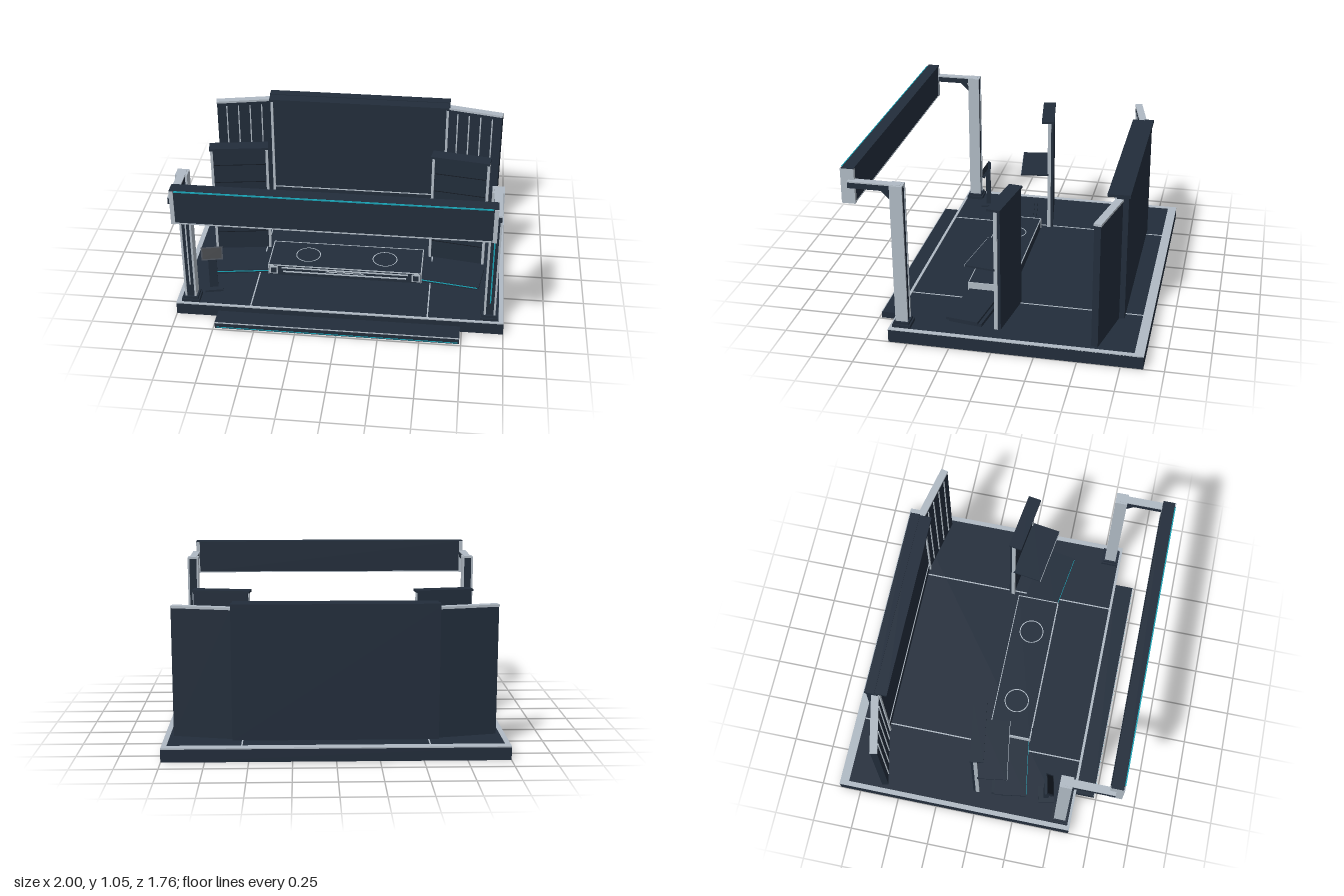
import * as THREE from 'three';

const mat = (name, color) => {
  const m = new THREE.MeshStandardMaterial({ color });
  m.name = name;
  return m;
};

export function createModel() {
  const navy = mat('navy', 0x222d3b);
  const black = mat('nearBlack', 0x121820);
  const silver = mat('silver', 0xb0bac4);
  const cyan = mat('cyanLight', 0x18a3b5);

  const model = new THREE.Group();
  model.name = 'exhibitionStand';

  const group = (name, parent = model) => {
    const g = new THREE.Group();
    g.name = name;
    parent.add(g);
    return g;
  };
  // Box given by its limits on each axis
  const box = (parent, name, material, x0, x1, y0, y1, z0, z1) => {
    const m = new THREE.Mesh(new THREE.BoxGeometry(x1 - x0, y1 - y0, z1 - z0), material);
    m.position.set((x0 + x1) / 2, (y0 + y1) / 2, (z0 + z1) / 2);
    m.name = name;
    parent.add(m);
    return m;
  };

  // Stage floor: thin deck on a skirt that is open underneath
  const stage = group('stage');
  box(stage, 'deck', navy, -0.97, 0.97, 0.06, 0.08, -0.85, 0.595);
  box(stage, 'frontSkirt', navy, -1, 1, 0, 0.079, 0.59, 0.615);
  box(stage, 'backSkirt', navy, -1, 1, 0, 0.079, -0.88, -0.855);
  box(stage, 'frontTrim', silver, -1, 1, 0.076, 0.083, 0.6, 0.616);
  box(stage, 'backTrim', silver, -1, 1, 0.076, 0.083, -0.881, -0.825);
  box(stage, 'frontUnderglow', cyan, -0.96, 0.96, 0.012, 0.018, 0.586, 0.59);
  box(stage, 'backUnderglow', cyan, -0.96, 0.96, 0.012, 0.018, -0.855, -0.851);
  for (const s of [-1, 1]) {
    box(stage, 'sideSkirt', navy, s * 0.985 - 0.015, s * 0.985 + 0.015, 0, 0.079, -0.855, 0.59);
    box(stage, 'sideTrim', silver, s * 0.985 - 0.015, s * 0.985 + 0.015, 0.076, 0.083, -0.825, 0.6);
    box(stage, 'sideUnderglow', cyan, s * 0.968 - 0.002, s * 0.968 + 0.002, 0.012, 0.018, -0.85, 0.586);
    box(stage, 'floorSeam', silver, s * 0.54 - 0.004, s * 0.54 + 0.004, 0.079, 0.082, -0.825, 0.6);
  }

  // Front step
  const step = group('frontStep');
  box(step, 'tread', navy, -0.74, 0.74, 0, 0.04, 0.615, 0.735);
  box(step, 'stepLight', cyan, -0.73, 0.73, 0.005, 0.01, 0.733, 0.737);
  box(step, 'nosing', silver, -0.74, 0.74, 0.036, 0.041, 0.731, 0.736);

  // Low central display platform
  const platform = group('displayPlatform');
  box(platform, 'body', navy, -0.48, 0.48, 0.08, 0.155, -0.005, 0.255);
  for (const [z0, z1] of [[-0.01, -0.005], [0.255, 0.26]])
    box(platform, 'topEdge', silver, -0.485, 0.485, 0.151, 0.157, z0, z1);
  for (const s of [-1, 1]) {
    box(platform, 'endPlate', silver, s * 0.482 - 0.003, s * 0.482 + 0.003, 0.085, 0.157, -0.01, 0.26);
    box(platform, 'cornerBlock', silver, s * 0.45 - 0.026, s * 0.45 + 0.026, 0.093, 0.146, 0.25, 0.263);
    box(platform, 'cornerInset', navy, s * 0.45 - 0.018, s * 0.45 + 0.018, 0.1, 0.138, 0.26, 0.264);
    const ring = new THREE.Mesh(new THREE.RingGeometry(0.073, 0.079, 40), silver);
    ring.rotation.x = -Math.PI / 2;
    ring.position.set(s * 0.245, 0.157, 0.125);
    ring.name = 'spotRing';
    platform.add(ring);
  }
  box(platform, 'frontRail', silver, -0.4, 0.4, 0.134, 0.141, 0.25, 0.262);
  box(platform, 'frontRail', silver, -0.39, 0.39, 0.106, 0.113, 0.25, 0.262);
  box(platform, 'frontLine', silver, -0.12, 0.12, 0.121, 0.126, 0.25, 0.259);

  // Back wall
  const wall = group('backWall');
  box(wall, 'panel', navy, -0.6, 0.6, 0.08, 0.868, -0.72, -0.65);
  box(wall, 'canopy', navy, -0.595, 0.595, 0.862, 0.878, -0.72, -0.595);
  box(wall, 'canopyBack', navy, -0.6, 0.6, 0.862, 0.882, -0.73, -0.67);
  box(wall, 'baseTrim', silver, -0.58, 0.58, 0.178, 0.184, -0.652, -0.645);
  for (const s of [-1, 1])
    box(wall, 'edgeTrim', silver, s * 0.585 - 0.008, s * 0.585 + 0.008, 0.08, 0.862, -0.655, -0.64);

  for (const s of [-1, 1]) {
    // Angled wing beside the back wall
    const wing = group(s < 0 ? 'rightWing' : 'leftWing');
    wing.position.set(s * 0.77, 0, -0.63);
    wing.rotation.y = -s * 0.215;
    box(wing, 'panel', navy, -0.178, 0.178, 0.08, 0.845, -0.02, 0.02);
    box(wing, 'topCap', silver, -0.18, 0.18, 0.842, 0.856, -0.023, 0.023);
    for (let i = 0; i < 4; i++) {
      const x = -0.115 + i * 0.077;
      box(wing, 'batten', silver, x - 0.004, x + 0.004, 0.11, 0.82, 0.018, 0.026);
    }

    // Angled side display with canopy, shelf and plinth
    const side = group(s < 0 ? 'rightDisplay' : 'leftDisplay');
    side.position.set(s * 0.695, 0, -0.04);
    side.rotation.y = -s * 0.15;
    box(side, 'panel', navy, -0.172, 0.172, 0.08, 0.838, -0.016, 0.016);
    box(side, 'canopy', navy, -0.182, 0.182, 0.836, 0.85, -0.02, 0.062);
    for (const e of [-1, 1])
      box(side, 'edgePost', silver, e * 0.172 - 0.008, e * 0.172 + 0.008, 0.08, 0.836, 0, 0.022);
    for (let i = 1; i < 6; i++)
      box(side, 'grooveLine', black, -0.16, 0.16, 0.08 + i * 0.125, 0.084 + i * 0.125, 0.014, 0.018);
    box(side, 'shelf', navy, -0.188, 0.188, 0.465, 0.476, 0.016, 0.198);
    box(side, 'shelfEdge', silver, -0.188, 0.188, 0.464, 0.475, 0.196, 0.201);
    box(side, 'shelfSupport', navy, -0.15, 0.15, 0.452, 0.465, 0.016, 0.18);
    box(side, 'plinthFoot', navy, -0.185, 0.185, 0.08, 0.1, 0.1, 0.305);
    box(side, 'plinthTop', navy, -0.198, 0.198, 0.098, 0.114, 0.12, 0.32);
    box(side, 'plinthLight', cyan, -0.19, 0.19, 0.103, 0.109, 0.319, 0.323);

    // Front post carrying the header beam
    const post = group(s < 0 ? 'rightPost' : 'leftPost');
    post.position.set(s * 0.913, 0, 0.545);
    box(post, 'foot', navy, -0.055, 0.055, 0.08, 0.1, -0.055, 0.053);
    box(post, 'collar', navy, -0.046, 0.046, 0.1, 0.115, -0.046, 0.046);
    box(post, 'core', navy, -0.026, 0.026, 0.11, 0.972, -0.032, 0.032);
    for (const e of [-1, 1])
      box(post, 'flange', silver, e * 0.029 - 0.006, e * 0.029 + 0.006, 0.11, 0.977, -0.037, 0.037);
    box(post, 'topPlate', silver, -0.035, 0.035, 0.97, 0.978, -0.037, 0.037);
    box(post, 'frontStrip', s > 0 ? cyan : silver, -0.004, 0.004, 0.2, 0.86, 0.031, 0.035);
    box(post, 'arm', navy, -0.022, 0.022, 0.938, 0.974, -0.02, 0.285);
    box(post, 'armTop', silver, -0.023, 0.023, 0.972, 0.98, -0.02, 0.285);
    const brace = box(post, 'brace', navy, -0.014, 0.014, 0.905, 0.923, 0.02, 0.1);
    brace.rotation.x = -Math.PI / 4;
  }

  // Header beam
  const header = group('headerBeam');
  box(header, 'body', navy, -0.89, 0.89, 0.838, 1.046, 0.798, 0.872);
  for (const s of [-1, 1])
    box(header, 'endCap', silver, s * 0.901 - 0.012, s * 0.901 + 0.012, 0.833, 1.046, 0.795, 0.875);
  box(header, 'topSkin', navy, -0.913, 0.913, 1.044, 1.05, 0.795, 0.868);
  box(header, 'topLight', cyan, -0.885, 0.885, 1.042, 1.049, 0.868, 0.875);
  box(header, 'bottomTrim', silver, -0.89, 0.89, 0.836, 0.843, 0.868, 0.875);
  box(header, 'rearTrim', silver, -0.89, 0.89, 0.836, 0.842, 0.796, 0.8);

  // Information kiosk with a tilted screen
  const kiosk = group('kiosk');
  kiosk.position.set(-0.8, 0, 0.43);
  kiosk.rotation.y = 0.22;
  box(kiosk, 'foot', navy, -0.055, 0.055, 0.08, 0.094, -0.05, 0.05);
  box(kiosk, 'stem', navy, -0.026, 0.026, 0.09, 0.325, -0.016, 0.016);
  const screen = group('screen', kiosk);
  screen.position.set(0, 0.343, 0.012);
  screen.rotation.x = -0.6;
  box(screen, 'housing', navy, -0.066, 0.066, -0.04, 0.04, -0.009, 0.009);
  box(screen, 'display', black, -0.058, 0.058, -0.032, 0.032, 0.008, 0.011);

  return model;
}
